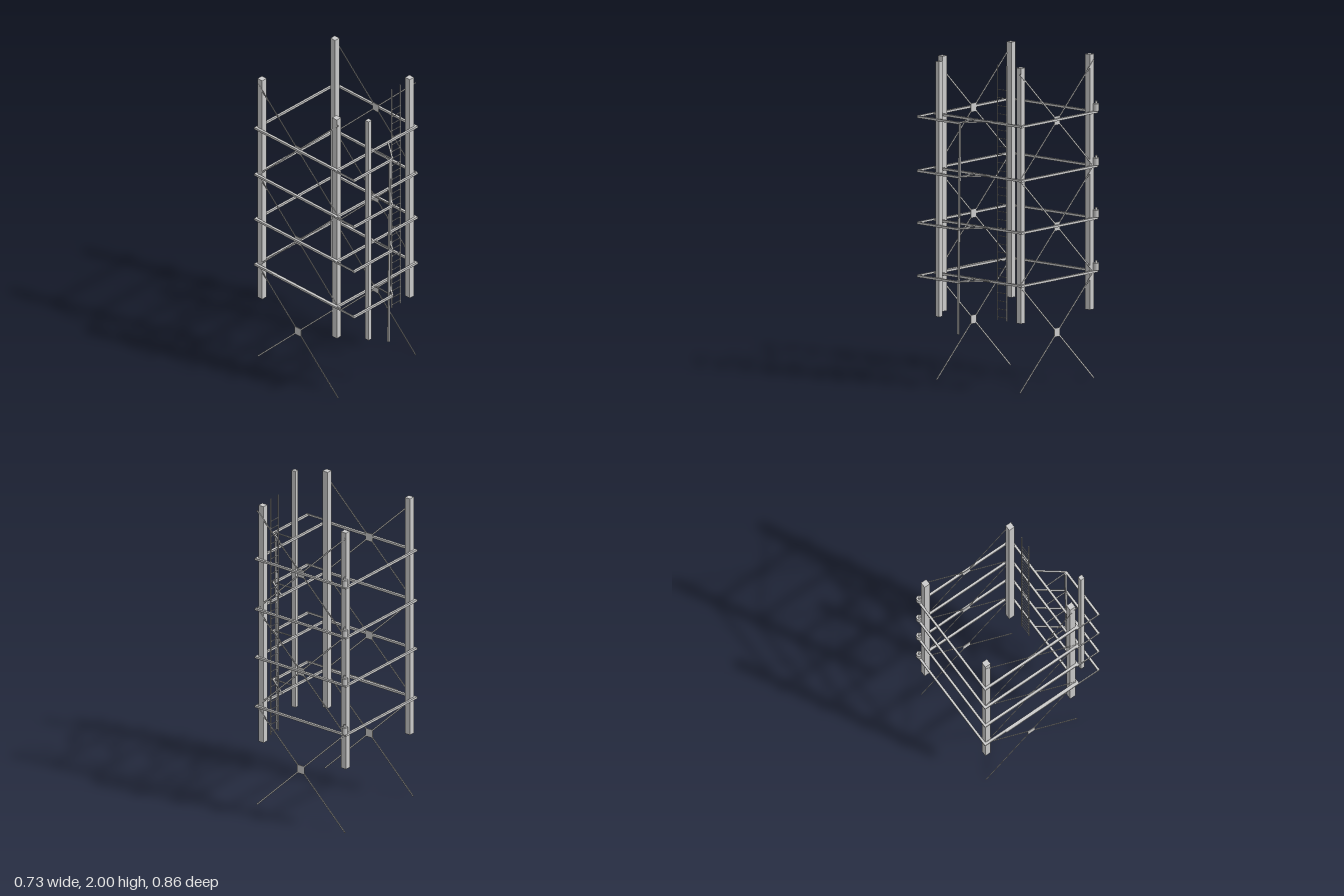
import * as THREE from 'three';

const material = new THREE.MeshStandardMaterial({ color: 0xcccccc });

function add(parent, name, geometry, x, y, z) {
  const mesh = new THREE.Mesh(geometry, material);
  mesh.name = name;
  mesh.position.set(x, y, z);
  parent.add(mesh);
  return mesh;
}

// Box given by its lower and upper limits on each axis
function block(parent, name, x0, x1, y0, y1, z0, z1) {
  return add(parent, name, new THREE.BoxGeometry(x1 - x0, y1 - y0, z1 - z0),
    (x0 + x1) / 2, (y0 + y1) / 2, (z0 + z1) / 2);
}

function group(parent, name) {
  const g = new THREE.Group();
  g.name = name;
  parent.add(g);
  return g;
}

export function createModel() {
  const model = new THREE.Group();
  model.name = 'scaffoldTower';
  const levels = [0.664, 0.99, 1.31, 1.643];

  // Corner posts and the thinner post of the side bay
  const posts = group(model, 'posts');
  for (const x of [-0.342, 0.29]) {
    for (const z of [-0.41, 0.22]) {
      block(posts, 'cornerPost', x, x + 0.038, 0.43, 2, z, z + 0.039);
    }
  }
  block(posts, 'bayPost', -0.224, -0.196, 0.43, 2, 0.384, 0.412);

  // Slightly leaning slim post
  const top = new THREE.Vector2(-0.033, 1.645);
  const foot = new THREE.Vector2(-0.047, 0.34);
  const lean = add(posts, 'leaningPost',
    new THREE.BoxGeometry(0.012, top.distanceTo(foot), 0.011),
    (top.x + foot.x) / 2, (top.y + foot.y) / 2, 0.408);
  lean.rotation.z = -Math.atan2(top.x - foot.x, top.y - foot.y);

  // Rail frames, each with a bay at the front
  levels.forEach((y, i) => {
    const frame = group(model, 'railFrame');
    const lo = y - 0.007, hi = y + 0.007;
    block(frame, 'backRail', -0.358, 0.346, lo, hi, -0.424, -0.41);
    block(frame, 'frontRail', -0.342, 0.331, lo, hi, 0.26, 0.274);
    block(frame, 'rightRail', -0.358, -0.342, lo, hi, -0.41, 0.274);
    block(frame, 'leftRail', 0.331, 0.346, lo, hi, -0.41, 0.274);
    block(frame, 'bayFrontRail', -0.363, -0.026, lo, hi, 0.412, 0.426);
    block(frame, 'baySideRail', -0.364, -0.358, y - 0.003, y + 0.009,
      i === 0 ? -0.268 : 0.255, 0.426);
    block(frame, 'bayCrossRail', -0.03, -0.024, y + 0.001, y + 0.008, 0.274, 0.412);
    const dx = 0.125, dz = -0.163;
    const diagonal = add(frame, 'bayDiagonal',
      new THREE.BoxGeometry(Math.hypot(dx, dz), 0.008, 0.01), 0.036, y + 0.005, 0.342);
    diagonal.rotation.y = Math.atan2(-dz, dx);
  });

  // Cross braces with a centre plate on both sides
  for (const x of [-0.342, 0.331]) {
    for (const y of [0.335, 0.986, 1.637]) {
      const brace = group(model, 'crossBrace');
      brace.position.set(x, y, -0.068);
      add(brace, 'bracePlate', new THREE.BoxGeometry(0.004, 0.054, 0.054), 0, 0, 0);
      const length = 2 * Math.hypot(0.338, 0.327);
      for (const s of [-1, 1]) {
        const arm = add(brace, 'braceArm', new THREE.BoxGeometry(0.003, 0.009, length), 0, 0, 0);
        arm.rotation.x = s * Math.atan2(0.327, 0.338);
      }
    }
  }

  // Ladder
  const ladder = group(model, 'ladder');
  for (const x of [0.136, 0.21]) {
    block(ladder, 'ladderStile', x - 0.003, x + 0.003, 0.43, 2, 0.253, 0.259);
  }
  for (let i = 0; i < 29; i++) {
    add(ladder, 'ladderRung', new THREE.BoxGeometry(0.074, 0.004, 0.004), 0.173, 0.45 + i * 0.05, 0.256);
  }

  // Lamps on the back corner of every frame
  for (const y of levels) {
    const lamp = group(model, 'lamp');
    lamp.position.set(0.343, y + 0.007, -0.413);
    add(lamp, 'lampBody', new THREE.CylinderGeometry(0.018, 0.018, 0.046, 24), 0, 0.023, 0);
    add(lamp, 'lampCap', new THREE.CylinderGeometry(0.007, 0.008, 0.016, 16), 0, 0.054, 0);
  }

  return model;
}
